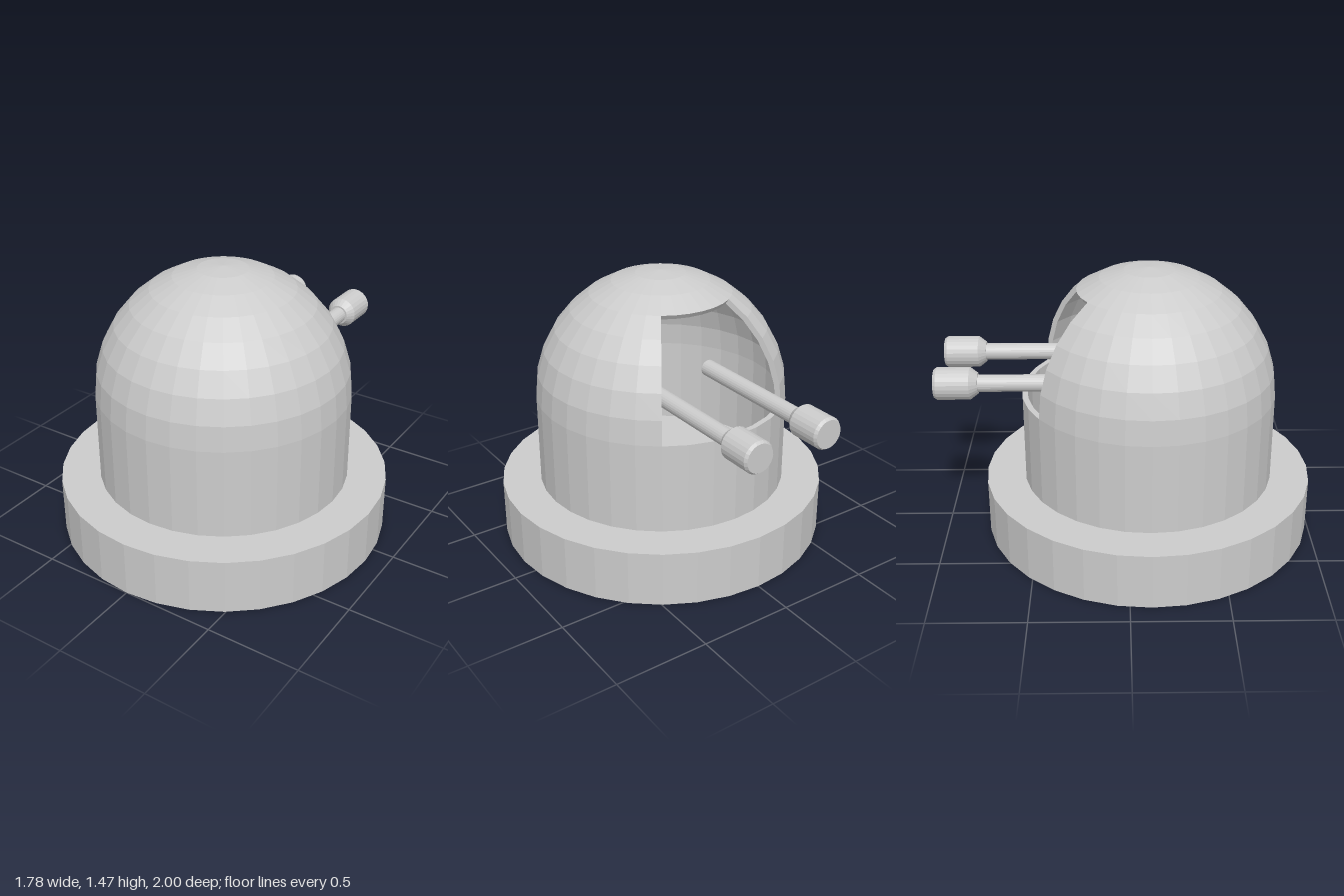
import * as THREE from 'three';

const SIDES = 32, STEP = (Math.PI * 2) / SIDES; // facets round the axis
const OUTER = 0.68, INNER = 0.65, SPRING = 0.79; // dome radii and height where it starts curving
const CENTRE_Z = 0.11;

export function createModel() {
  const model = new THREE.Group();
  const grey = new THREE.MeshStandardMaterial({
    color: 0xcccccc, flatShading: true, side: THREE.DoubleSide,
  });

  const add = (parent, name, geometry) => {
    const mesh = new THREE.Mesh(geometry, grey);
    mesh.name = name;
    parent.add(mesh);
    return mesh;
  };
  const points = (list) => list.map(([x, y]) => new THREE.Vector2(x, y));

  // Dome profile between two latitude steps (8 = springing line, 0 = pole)
  const arc = (radius, from, to) => {
    const list = [];
    const dir = Math.sign(to - from);
    for (let i = from; i !== to + dir; i += dir) {
      list.push(new THREE.Vector2(radius * Math.sin(i * STEP), SPRING + radius * Math.cos(i * STEP)));
    }
    return list;
  };

  const body = new THREE.Group();
  body.name = 'body';
  body.position.z = CENTRE_Z;
  model.add(body);

  // Round plinth
  add(body, 'base', new THREE.CylinderGeometry(0.89, 0.89, 0.3, SIDES)).position.y = 0.15;

  // Hollow straight wall
  add(body, 'wall', new THREE.LatheGeometry(
    points([[OUTER, 0.3], [OUTER, SPRING], [INNER, SPRING], [INNER, 0.3]]), SIDES));

  // Dome band, left open at the back for six facets
  const band = [...arc(OUTER, 8, 3), ...arc(INNER, 3, 8)];
  const start = Math.PI + 3 * STEP;
  add(body, 'domeBand', new THREE.LatheGeometry(band, SIDES - 6, start, (SIDES - 6) * STEP));

  // Thickness of the shell at both sides of the opening
  for (const side of [-1, 1]) {
    const edge = add(body, 'openingEdge', new THREE.ShapeGeometry(new THREE.Shape(band)));
    edge.rotation.y = Math.PI + side * 3 * STEP - Math.PI / 2;
  }

  // Closed top of the dome with its rim
  const cap = [...arc(OUTER, 3, 0), ...arc(INNER, 0, 3)];
  add(body, 'domeTop', new THREE.LatheGeometry([...cap, cap[0].clone()], SIDES));

  // Two rods with thick end knobs, reaching out through the opening
  const rod = points([
    [0, 0.04], [0.045, 0.04], [0.045, 0.775], [0.055, 0.775],
    [0.085, 0.815], [0.085, 0.985], [0.075, 1], [0, 1],
  ]);
  for (const side of [-1, 1]) {
    const mesh = add(model, side > 0 ? 'leftRod' : 'rightRod', new THREE.LatheGeometry(rod, 24));
    mesh.position.set(side * 0.208, 0.915, 0);
    mesh.rotation.x = -Math.PI / 2;
  }

  return model;
}
